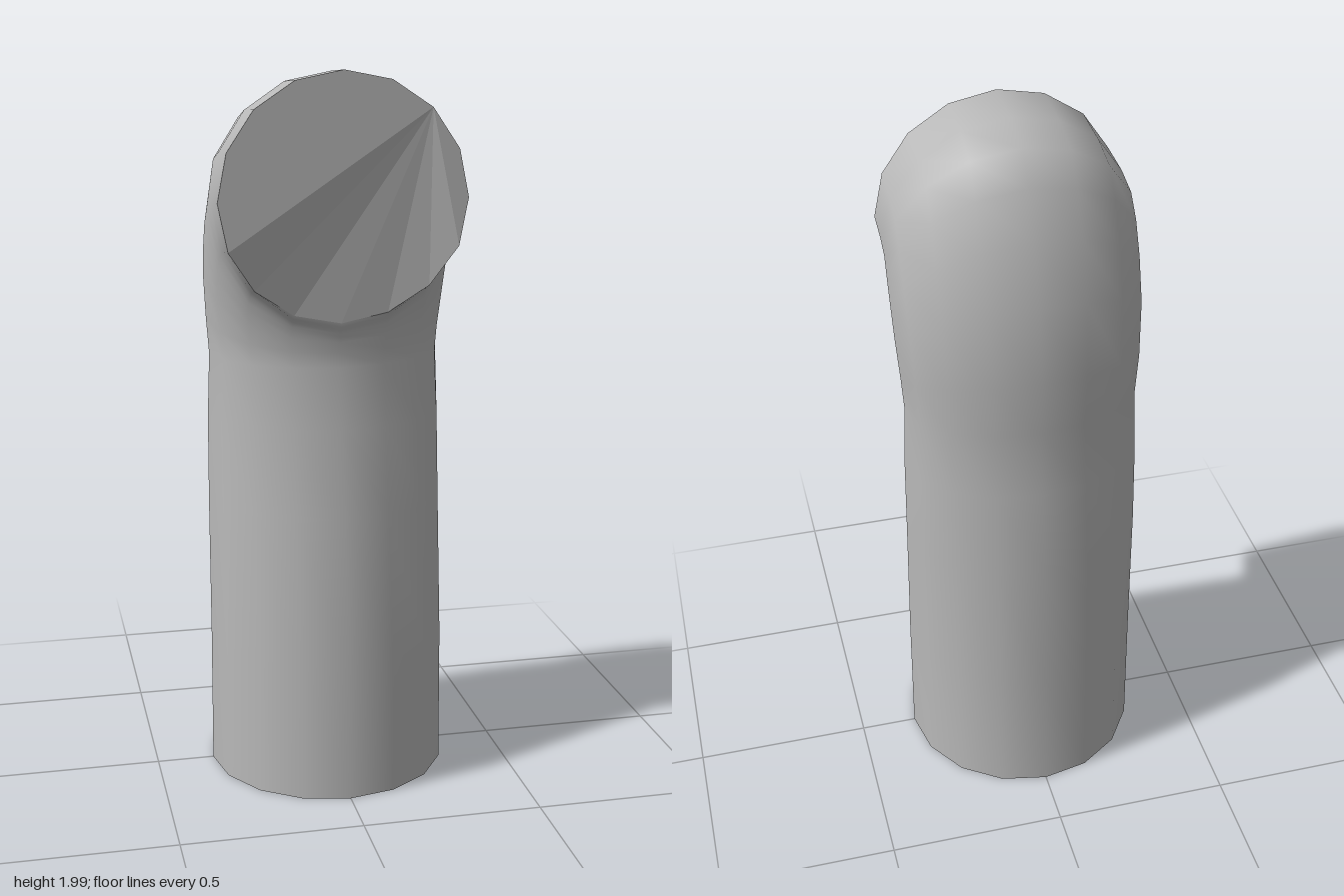
import * as THREE from 'three';

const SIDES = 16;

// Each section: front/lower rim z, y, back/upper rim z, y, half width
const SECTIONS = [
  [0.34, 0.01, -0.338, 0.01, 0.338],
  [0.325, 0.4, -0.325, 0.4, 0.336],
  [0.257, 0.8, -0.297, 0.8, 0.334],
  [0.215, 1.04, -0.265, 1.04, 0.332],
  [0.188, 1.21, -0.243, 1.23, 0.325],
  [0.19, 1.25, -0.25, 1.39, 0.332],
  [0.192, 1.28, -0.217, 1.6, 0.34],
  [0.194, 1.295, -0.16, 1.76, 0.342],
  [0.196, 1.305, -0.1, 1.88, 0.342],
  [0.198, 1.315, -0.035, 1.96, 0.34],
  [0.205, 1.325, 0.08, 1.99, 0.338],
  [0.255, 1.335, 0.23, 2.0, 0.335],
];

// One elliptical ring of points, starting at the front/lower rim
function ring([z0, y0, z1, y1, w]) {
  return Array.from({ length: SIDES }, (_, i) => {
    const t = (i / SIDES) * Math.PI * 2;
    const k = (1 - Math.cos(t)) / 2;
    return new THREE.Vector3(w * Math.sin(t), y0 + (y1 - y0) * k, z0 + (z1 - z0) * k);
  });
}

// Smooth skin joining successive rings
function skin(rings) {
  const index = [];
  for (let r = 0; r < rings.length - 1; r++) {
    for (let i = 0; i < SIDES; i++) {
      const j = (i + 1) % SIDES;
      const a = r * SIDES + i, b = r * SIDES + j;
      index.push(a, b, a + SIDES, b, b + SIDES, a + SIDES);
    }
  }
  const geometry = new THREE.BufferGeometry().setFromPoints(rings.flat());
  geometry.setIndex(index);
  geometry.computeVertexNormals();
  return geometry;
}

// Faceted cap fanned from one rim point
function cap(points, apex, flip) {
  const corners = [];
  for (let s = 1; s < SIDES - 1; s++) {
    const b = points[(apex + s) % SIDES], c = points[(apex + s + 1) % SIDES];
    corners.push(points[apex], ...(flip ? [c, b] : [b, c]));
  }
  const geometry = new THREE.BufferGeometry().setFromPoints(corners);
  geometry.computeVertexNormals();
  return geometry;
}

export function createModel() {
  const group = new THREE.Group();
  group.name = 'bentPipe';
  const grey = new THREE.MeshStandardMaterial({ color: 0xb8b8b8 });
  grey.name = 'grey';

  const rings = SECTIONS.map(ring);
  const mouth = rings[rings.length - 1];
  // Lower lip of the mouth is pushed back
  for (const [i, depth] of [[0, 0.05], [1, 0.05], [15, 0.05], [2, 0.03], [14, 0.03]]) mouth[i].z -= depth;

  const add = (name, geometry) => {
    const mesh = new THREE.Mesh(geometry, grey);
    mesh.name = name;
    group.add(mesh);
  };
  add('pipeBody', skin(rings));
  add('baseCap', cap(rings[0], 0, true));
  add('mouthCap', cap(mouth, 6, false));
  return group;
}
